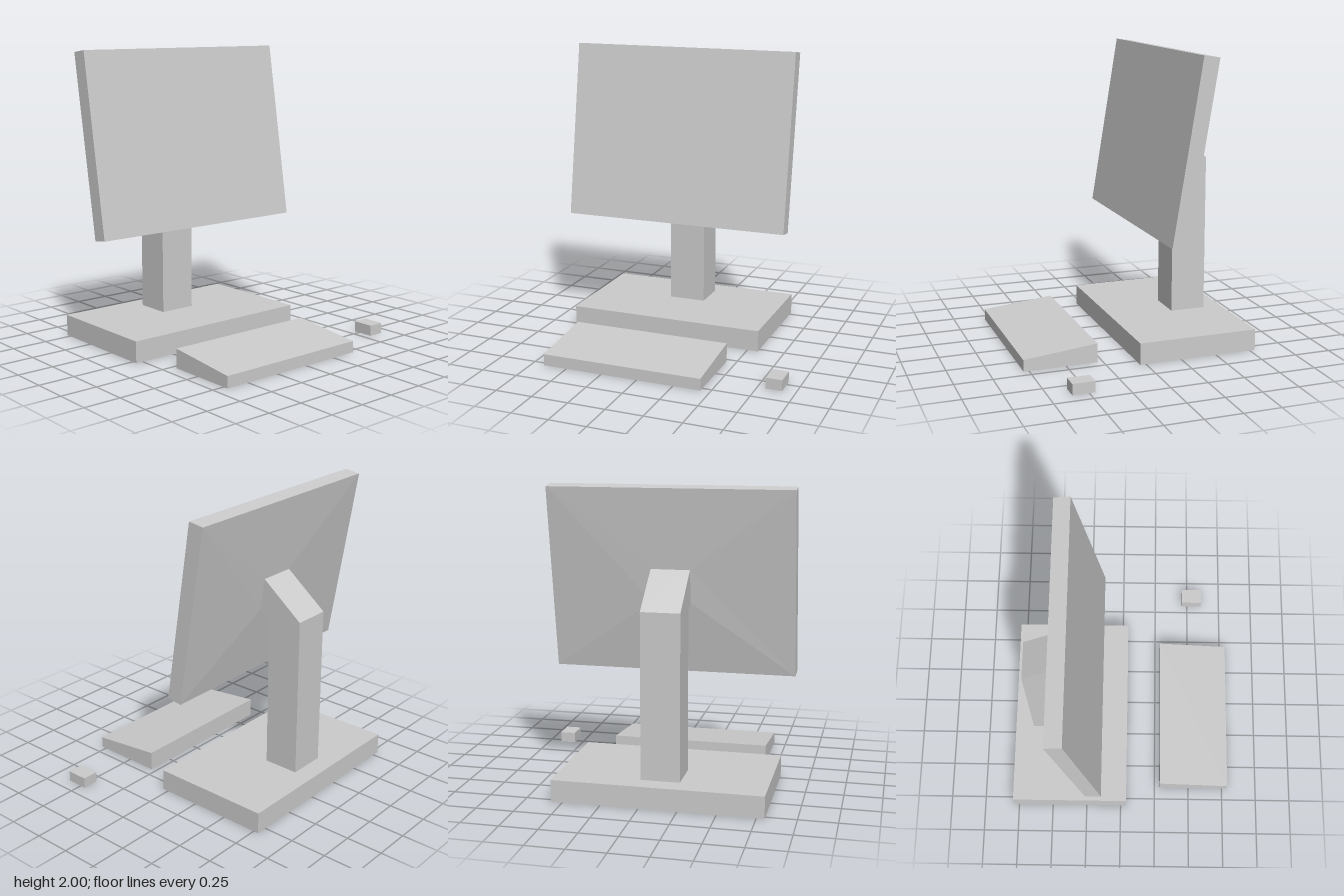
import * as THREE from 'three';

const CX = -0.114; // shared centre line of screen, neck, base and keyboard
const material = new THREE.MeshStandardMaterial({ color: 0xcccccc, flatShading: true });

function addMesh(group, name, geometry) {
  const mesh = new THREE.Mesh(geometry, material);
  mesh.name = name;
  group.add(mesh);
}

// Side outline of [z, y] points, extruded across x around a centre
function sideProfile(points, width, cx = CX) {
  const shape = new THREE.Shape(points.map(([z, y]) => new THREE.Vector2(z, y)));
  return new THREE.ExtrudeGeometry(shape, { depth: width, bevelEnabled: false })
    .rotateY(-Math.PI / 2)
    .translate(cx + width / 2, 0, 0);
}

// Box given by its centre x, z and size, standing on the ground
function groundBox(x, z, w, h, d) {
  return new THREE.BoxGeometry(w, h, d).translate(x, h / 2, z);
}

// Four corners of a sloped rectangle, counter-clockwise from behind
function backLoop(halfWidth, [zLow, yLow], [zHigh, yHigh]) {
  return [
    [CX + halfWidth, yLow, zLow], [CX - halfWidth, yLow, zLow],
    [CX - halfWidth, yHigh, zHigh], [CX + halfWidth, yHigh, zHigh],
  ];
}

export function createModel() {
  const group = new THREE.Group();
  group.name = 'desktopComputer';

  // Tilted screen panel
  const backBottom = [-0.235, 0.775], backTop = [-0.436, 1.985];
  addMesh(group, 'screen', sideProfile(
    [[-0.13, 0.79], backBottom, backTop, [-0.328, 2]], 1.602));

  // Shallow four-sided bulge from the panel rim to the neck mount
  const rim = backLoop(0.801, backBottom, backTop);
  const mount = backLoop(0.128, [-0.334, 1.247], [-0.366, 1.464]);
  const corners = [];
  for (let i = 0; i < 4; i++) {
    const j = (i + 1) % 4;
    corners.push(rim[i], rim[j], mount[j], rim[i], mount[j], mount[i]);
  }
  const bulge = new THREE.BufferGeometry();
  bulge.setAttribute('position', new THREE.Float32BufferAttribute(corners.flat(), 3));
  bulge.computeVertexNormals();
  addMesh(group, 'screenBack', bulge);

  // Upright neck bending forward to the screen
  addMesh(group, 'neck', sideProfile([
    [-0.408, 0.145], [-0.655, 0.145], [-0.655, 1.236],
    [-0.366, 1.464], [-0.334, 1.247], [-0.408, 1.204],
  ], 0.257));

  // Flat case under the neck
  addMesh(group, 'base', groundBox(CX, -0.373, 1.376, 0.146, 0.826));

  // Wedge keyboard and small mouse
  addMesh(group, 'keyboard', sideProfile(
    [[0.786, 0], [0.286, 0], [0.286, 0.13], [0.786, 0.078]], 1.1));
  addMesh(group, 'mouse', groundBox(0.859, 0.534, 0.108, 0.073, 0.148));

  return group;
}
